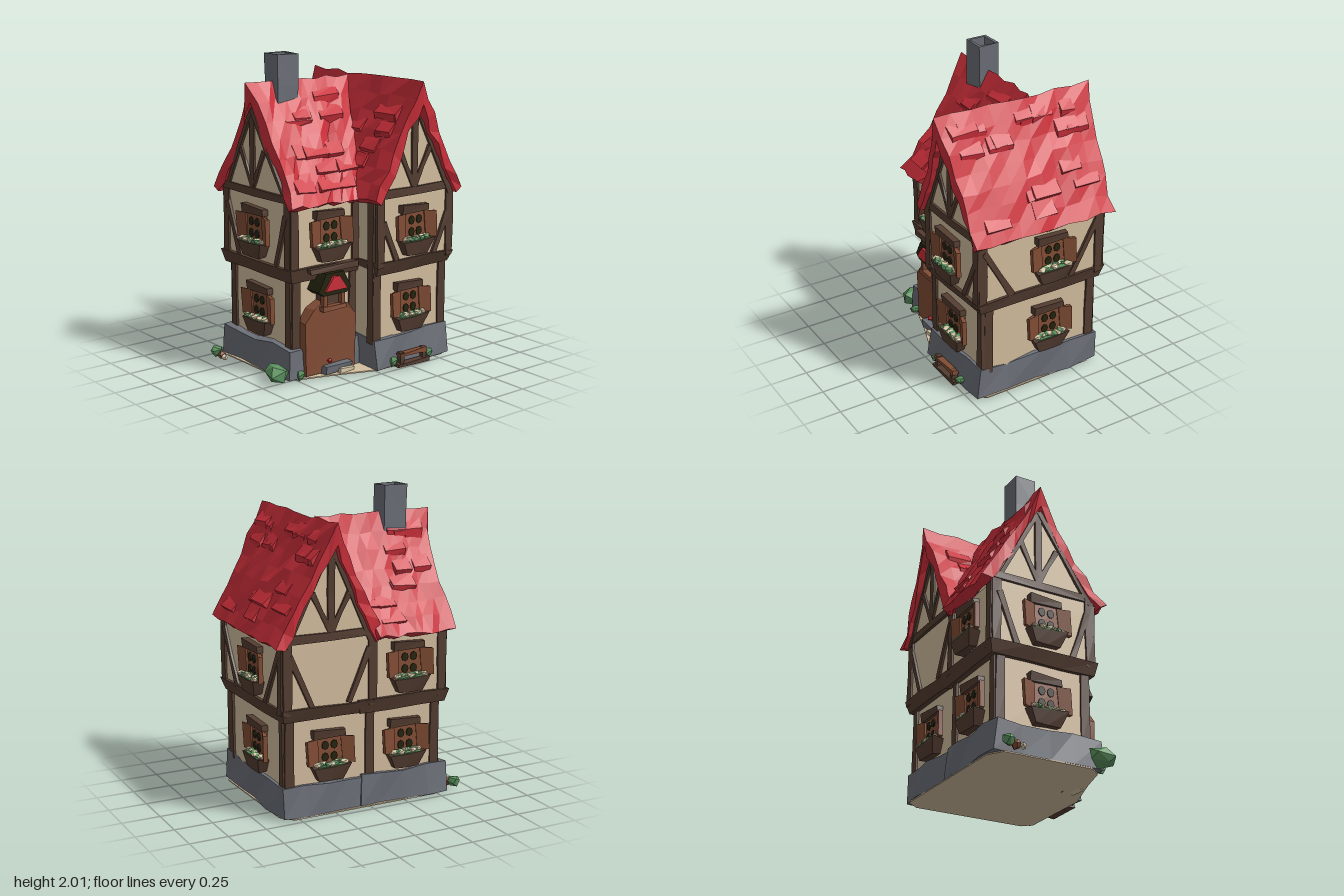
import * as THREE from 'three';

const mat = (name, color) => Object.assign(new THREE.MeshStandardMaterial({ color }), { name });

export function createModel() {
  const red = mat('roof red', 0xcc2f3a), plaster = mat('plaster', 0xd4be9f), timber = mat('dark timber', 0x543d31),
    wood = mat('warm wood', 0x824d35), stone = mat('stone grey', 0x6b6f77), leaf = mat('leaf green', 0x5d9460),
    dark = mat('pane dark', 0x25240f), cream = mat('blossom cream', 0xd9caa9);
  const root = new THREE.Group();

  // Seeded random and a position-based wobble for the hand-hewn look
  let seed = 7;
  const rnd = () => { seed = (seed * 16807) % 2147483647; return seed / 2147483647; };
  const hash = (x, y, z, k) => {
    const s = Math.sin(Math.round(x * 500) * 12.99 + Math.round(y * 500) * 78.23 + Math.round(z * 500) * 37.72 + k * 11.1) * 43758.5;
    return s - Math.floor(s) - 0.5;
  };
  const warp = (geo, rule) => {
    const p = geo.attributes.position, v = new THREE.Vector3();
    for (let i = 0; i < p.count; i++) {
      rule(v.fromBufferAttribute(p, i));
      p.setXYZ(i, v.x, v.y, v.z);
    }
    return geo;
  };
  const rough = (geo, a) => warp(geo, (v) => {
    const { x, y, z } = v;
    v.set(x + a * hash(x, y, z, 1), y + a * hash(x, y, z, 2), z + a * hash(x, y, z, 3));
  });
  const add = (parent, name, geo, m, x = 0, y = 0, z = 0) => {
    const g = geo.index ? geo.toNonIndexed() : geo;
    g.computeVertexNormals();
    const mesh = new THREE.Mesh(g, m);
    mesh.name = name;
    mesh.position.set(x, y, z);
    parent.add(mesh);
    return mesh;
  };
  const box = (parent, name, m, x0, x1, y0, y1, z0, z1, a = 0) => add(parent, name,
    rough(new THREE.BoxGeometry(x1 - x0, y1 - y0, z1 - z0), a), m, (x0 + x1) / 2, (y0 + y1) / 2, (z0 + z1) / 2);
  const poly = (pts) => new THREE.Shape(pts.map(([x, y]) => new THREE.Vector2(x, y)));
  const prism = (pts, depth) => new THREE.ExtrudeGeometry(poly(pts), { depth, bevelEnabled: false });

  // Stone footing that flares towards the ground, and the floor
  const footing = (x0, x1, z0, z1) => {
    const g = new THREE.BoxGeometry(x1 - x0, 0.19, z1 - z0, 4, 1, 4);
    warp(rough(g, 0.035), (v) => { if (v.y < 0) { v.x *= 1.05; v.z *= 1.03; v.y = -0.095; } });
    add(root, 'stoneFooting', g, stone, (x0 + x1) / 2, 0.105, (z0 + z1) / 2);
  };
  footing(0, 0.6, -0.45, 0.45);
  footing(-0.55, 0.06, -0.45, 0.26);
  const outline = [[-0.57, -0.4], [-0.47, -0.46], [0.54, -0.465], [0.61, -0.38], [0.62, 0.4], [0.56, 0.46], [0, 0.45], [-0.3, 0.34], [-0.5, 0.28], [-0.57, 0.2]];
  add(root, 'floor', prism(outline, 0.008).rotateX(Math.PI / 2), plaster, 0, 0.009);

  // Plaster storeys, the upper one jettied out over the lower
  box(root, 'lowerWall', plaster, 0, 0.585, 0.15, 0.68, -0.42, 0.415);
  box(root, 'lowerWall', plaster, -0.5, 0.1, 0.15, 0.68, -0.42, 0.22);
  box(root, 'upperWall', plaster, 0, 0.61, 0.67, 1.1, -0.46, 0.455);
  box(root, 'upperWall', plaster, -0.525, 0.1, 0.67, 1.1, -0.46, 0.25);
  add(root, 'mainGable', prism([[0, 1.09], [0.61, 1.09], [0.29, 1.72]], 0.915), plaster, 0, 0, -0.46);
  const side = add(root, 'sideGable', prism([[-0.46, 1.09], [0.25, 1.09], [-0.14, 1.69]], 0.5), plaster, -0.025);
  side.rotation.y = -Math.PI / 2;

  // Jetty beams: wider at the top than at the bottom
  const jetty = (x0, x1, z0, z1) => {
    const g = warp(rough(new THREE.BoxGeometry(x1 - x0, 0.085, z1 - z0, 3, 1, 3), 0.012),
      (v) => { if (v.y < 0) { v.x *= 0.93; v.z *= 0.93; } });
    add(root, 'jettyBeam', g, timber, (x0 + x1) / 2, 0.668, (z0 + z1) / 2);
  };
  jetty(-0.015, 0.63, -0.485, 0.475);
  jetty(-0.55, 0.1, -0.485, 0.28);

  // A wall face: local x runs along the wall and local z points outwards
  const face = (name, x, z, turn) => {
    const g = new THREE.Group();
    g.name = name;
    g.position.set(x, 0, z);
    g.rotation.y = turn * Math.PI / 2;
    root.add(g);
    return g;
  };
  const beam = (f, x0, y0, x1, y1, w = 0.04) => {
    const len = Math.hypot(x1 - x0, y1 - y0);
    const m = add(f, 'timberBeam', rough(new THREE.BoxGeometry(w, len, 0.03, 1, 2, 1), 0.01), timber, (x0 + x1) / 2, (y0 + y1) / 2, 0);
    m.rotation.z = -Math.atan2(x1 - x0, y1 - y0);
  };
  const blossoms = (parent, n, w, y, z, d) => {
    for (let i = 0; i < n; i++) {
      const m = add(parent, 'blossom', rough(new THREE.IcosahedronGeometry(0.028, 0), 0.014),
        i % 2 ? leaf : cream, (i / (n - 1) - 0.5) * w, y, z + (rnd() - 0.5) * d);
      m.scale.y = 0.6;
      m.rotation.y = rnd() * 6;
    }
  };
  const windowAt = (f, x, y) => {
    const g = new THREE.Group();
    g.name = 'window';
    g.position.set(x, y, 0);
    f.add(g);
    box(g, 'windowFrame', wood, -0.1, 0.1, -0.1, 0.08, -0.01, 0.02, 0.01);
    for (const s of [-1, 1]) {
      const sh = add(g, 'shutter', rough(new THREE.BoxGeometry(0.08, 0.17, 0.02), 0.018), wood, s * 0.125, -0.008, 0.03);
      sh.rotation.y = -s * 0.3;
      for (const r of [-0.046, 0.03])
        add(g, 'pane', new THREE.CylinderGeometry(0.024, 0.024, 0.006, 8).rotateX(Math.PI / 2), dark, s * 0.031, r, 0.028).scale.y = 1.2;
    }
    box(g, 'lintel', timber, -0.11, 0.11, 0.08, 0.13, -0.01, 0.045, 0.018);
    const trough = warp(new THREE.BoxGeometry(0.25, 0.095, 0.085, 2, 1, 1), (v) => {
      if (v.y < 0) { v.x *= 0.7; v.z = v.z > 0 ? 0.015 : v.z; }
    });
    add(g, 'flowerBox', rough(trough, 0.015), timber, 0, -0.143, 0.037);
    box(g, 'foliage', leaf, -0.1, 0.1, -0.1, -0.091, 0.005, 0.07, 0.008);
    blossoms(g, 9, 0.19, -0.086, 0.04, 0.045);
  };
  const posts = (f, y0, y1, ...xs) => xs.forEach((x) => beam(f, x, y0, x, y1, 0.055));
  const gableTimber = (f, l, r, c, top) => {
    beam(f, l, 1.145, r, 1.145, 0.05);
    beam(f, c, 1.12, c, top, 0.045);
    beam(f, l + 0.01, 1.1, c, top, 0.03);
    beam(f, r - 0.01, 1.1, c, top, 0.03);
    for (const s of [-1, 1]) beam(f, c, 1.17, c + s * 0.13, 1.42, 0.035);
  };

  // Front of the main wing
  let f = face('mainFrontLower', 0, 0.415, 0);
  posts(f, 0.17, 0.64, 0.015, 0.57);
  windowAt(f, 0.28, 0.42);
  f = face('mainFrontUpper', 0, 0.455, 0);
  posts(f, 0.68, 1.12, 0.015, 0.595);
  beam(f, 0.03, 0.97, 0.15, 0.71);
  beam(f, 0.58, 0.97, 0.46, 0.71);
  windowAt(f, 0.285, 0.93);
  gableTimber(f, 0.01, 0.6, 0.29, 1.7);

  // Front of the side wing
  f = face('sideFrontLower', 0, 0.22, 0);
  posts(f, 0.17, 0.64, -0.475, -0.02);
  f = face('sideFrontUpper', 0, 0.25, 0);
  posts(f, 0.68, 1.1, -0.505, -0.02);
  windowAt(f, -0.24, 0.93);

  // Long outer wall of the main wing
  f = face('outerWallLower', 0.585, 0, 1);
  posts(f, 0.17, 0.64, -0.375, 0.39);
  windowAt(f, 0.065, 0.42);
  f = face('outerWallUpper', 0.61, 0, 1);
  posts(f, 0.68, 1.12, -0.43, 0.43);
  beam(f, -0.42, 1.06, -0.22, 0.71);
  beam(f, 0.41, 1.06, 0.22, 0.71);
  windowAt(f, 0.065, 0.93);

  // Back wall across both wings
  f = face('backLower', 0, -0.42, 2);
  posts(f, 0.17, 0.64, -0.56, 0, 0.475);
  windowAt(f, -0.29, 0.42);
  windowAt(f, 0.25, 0.42);
  f = face('backUpper', 0, -0.46, 2);
  posts(f, 0.68, 1.12, -0.585, 0, 0.5);
  beam(f, -0.57, 1.05, -0.42, 0.71);
  beam(f, -0.02, 1.05, -0.17, 0.71);
  windowAt(f, 0.25, 0.93);
  gableTimber(f, -0.6, -0.01, -0.29, 1.7);

  // Gable end of the side wing, and the return beside the door
  f = face('sideEndLower', -0.5, 0, 3);
  posts(f, 0.17, 0.64, -0.395, 0.195);
  windowAt(f, -0.09, 0.42);
  f = face('sideEndUpper', -0.525, 0, 3);
  posts(f, 0.68, 1.12, -0.435, 0.225);
  beam(f, -0.42, 1.04, -0.29, 0.71);
  beam(f, 0.21, 1.04, 0.1, 0.71);
  windowAt(f, -0.1, 0.93);
  gableTimber(f, -0.45, 0.24, -0.14, 1.67);
  f = face('returnWall', 0, 0, 3);
  posts(f, 0.17, 1.12, 0.395);

  // Roof slopes: u along the ridge, t from ridge to eave, w outwards; loose tiles use the same map
  const roofSlope = (name, mapping, run, nTiles) => {
    const rule = (v) => {
      const u = v.x + 0.5, t = 0.5 - v.z, w = v.y;
      mapping(v, u, t, w * 0.92 * t, w * (2.1 - 1.65 * t));
    };
    const slab = warp(new THREE.BoxGeometry(1, 0.06, 1, 9, 1, 7), (v) => { v.y -= 0.03; rule(v); });
    add(root, name, rough(slab, 0.028), red);
    for (let i = 0; i < nTiles; i++) {
      const du = (0.1 + rnd() * 0.1) / run, u0 = 0.03 + rnd() * (0.94 - du);
      const dv = 0.13, v0 = 0.06 + Math.floor(rnd() * 6) * 0.14, lift = 0.015 + rnd() * 0.01;
      const tile = warp(new THREE.BoxGeometry(1, 1, 1), (v) => {
        const low = v.z < 0;
        v.set(u0 + (v.x + 0.5) * du - 0.5, v.y < 0 ? -0.025 : low ? lift : -0.004, 0.5 - v0 - (0.5 - v.z) * dv);
        rule(v);
      });
      add(root, 'roofTile', rough(tile, 0.014), red);
    }
  };
  for (const [dir, half] of [[1, 0.39], [-1, 0.345]])
    roofSlope('mainRoof', (v, u, t, out, up) => {
      v.set(0.285 + dir * (half * t + out), 1.84 - 0.725 * t + up - 0.01 * Math.sin(Math.PI * t),
        dir * (u - 0.5) * 2 * (0.5 + 0.05 * (1 - t) ** 2));
    }, 1.05, 18);
  for (const [dir, half] of [[1, 0.475], [-1, 0.395]])
    roofSlope('sideRoof', (v, u, t, out, up) => {
      const q = dir > 0 ? 1 - u : u;
      const x0 = -0.53 - 0.035 * (2 * t - 1) ** 2, x1 = 0.23 - 0.25 * t;
      v.set(x0 + (x1 - x0) * q, 1.83 - 0.715 * t + up - 0.03 * Math.sin(Math.PI * t), -0.14 + dir * (half * t + out));
    }, 0.65, 13);

  // Hollow chimney
  const stack = poly([[-0.08, -0.07], [0.08, -0.07], [0.08, 0.07], [-0.08, 0.07]]);
  stack.holes.push(poly([[-0.065, -0.055], [-0.065, 0.055], [0.065, 0.055], [0.065, -0.055]]));
  const flue = new THREE.ExtrudeGeometry(stack, { depth: 0.4, steps: 2, bevelEnabled: false }).rotateX(-Math.PI / 2);
  add(root, 'chimney', rough(flue, 0.008), stone, -0.3, 1.6, -0.14);
  box(root, 'chimneyFill', stone, -0.37, -0.23, 1.6, 1.88, -0.2, -0.08);

  // Arched door with step
  const arch = [[-0.45, 0.02], [-0.055, 0.02], [-0.05, 0.36], [-0.11, 0.44], [-0.19, 0.48], [-0.31, 0.48], [-0.39, 0.44], [-0.45, 0.36]];
  add(root, 'door', rough(prism(arch, 0.08), 0.012), wood, 0, 0, 0.22);
  box(root, 'doorStep', stone, -0.33, -0.12, 0.005, 0.06, 0.26, 0.345, 0.025);
  box(root, 'stepSlab', cream, -0.22, -0.11, 0.005, 0.035, 0.29, 0.355, 0.02);

  // Lantern hood above the door
  box(root, 'lanternBase', wood, -0.34, -0.16, 0.43, 0.455, 0.23, 0.34, 0.01);
  for (const s of [-1, 1]) box(root, 'lanternPost', wood, -0.25 + s * 0.07 - 0.014, -0.25 + s * 0.07 + 0.014, 0.45, 0.55, 0.3, 0.33, 0.008);
  box(root, 'lanternCore', timber, -0.31, -0.19, 0.45, 0.55, 0.22, 0.3);
  add(root, 'hood', prism([[-0.13, 0.56], [-0.09, 0.53], [0.09, 0.53], [0.13, 0.56], [0.07, 0.67], [-0.07, 0.67]], 0.12), dark, -0.25, 0, 0.22);
  add(root, 'hoodRoof', rough(prism([[-0.085, 0.56], [0.085, 0.56], [0.025, 0.65], [-0.025, 0.65]], 0.025), 0.008), red, -0.25, 0, 0.335);
  box(root, 'hoodLedge', timber, -0.42, -0.04, 0.68, 0.71, 0.23, 0.32, 0.02);

  // Low rail by the front wall
  for (const x of [0.17, 0.36]) box(root, 'railPost', timber, x - 0.015, x + 0.015, 0.01, 0.1, 0.47, 0.51, 0.01);
  box(root, 'railTop', wood, 0.15, 0.38, 0.075, 0.1, 0.47, 0.515, 0.012);
  box(root, 'railFoot', timber, 0.13, 0.4, 0.01, 0.03, 0.47, 0.52, 0.012);

  // Bushes and small plants around the footing
  const bush = (x, y, z, r, m) => add(root, 'plant', rough(new THREE.IcosahedronGeometry(r, 0), r * 0.5), m, x, y, z);
  bush(-0.63, 0.068, 0.23, 0.066, leaf).scale.z = 1.3;
  bush(-0.49, 0.04, 0.3, 0.034, leaf);
  bush(-0.65, 0.045, -0.41, 0.042, leaf);
  bush(-0.64, 0.03, -0.36, 0.03, wood);
  bush(-0.65, 0.026, -0.32, 0.022, cream);
  bush(-0.27, 0.09, 0.31, 0.018, red);
  bush(0.12, 0.05, 0.48, 0.034, leaf);
  bush(0.42, 0.05, 0.48, 0.034, leaf);
  return root;
}
